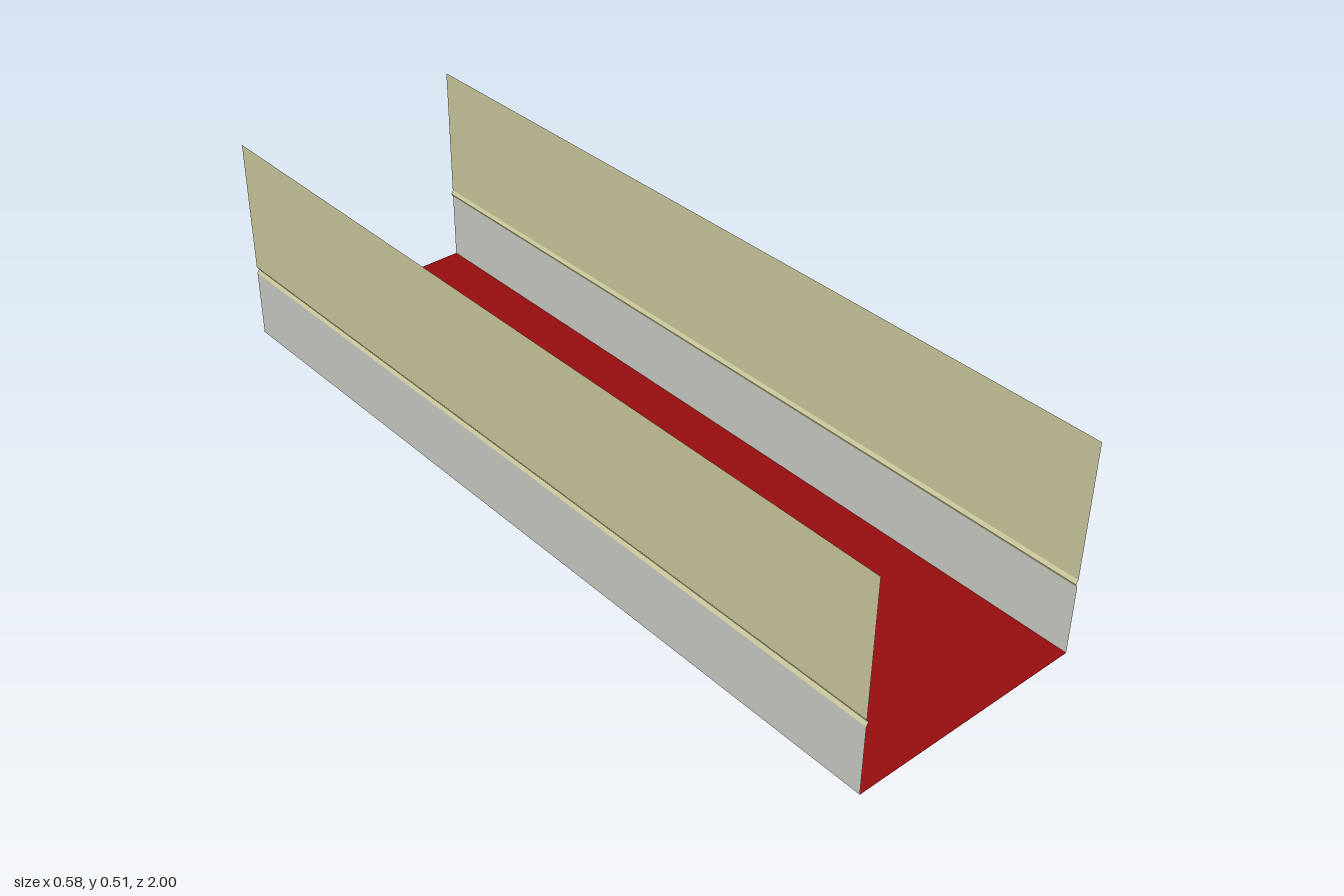
import * as THREE from 'three';

const LENGTH = 2, HALF = 0.289, HEIGHT = 0.51;
const RAIL_LOW = 0.167, RAIL_MID = 0.176, RAIL_HIGH = 0.185, RAIL_DEPTH = 0.005;

function material(name, color) {
  const m = new THREE.MeshStandardMaterial({ color, side: THREE.DoubleSide });
  m.name = name;
  return m;
}

// Flat sheet running the whole length, spanning two points of the cross-section
function sheet(name, mat, [x0, y0], [x1, y1]) {
  const geometry = new THREE.PlaneGeometry(Math.hypot(x1 - x0, y1 - y0), LENGTH);
  geometry.rotateX(-Math.PI / 2);
  geometry.rotateZ(Math.atan2(y1 - y0, x1 - x0));
  geometry.translate((x0 + x1) / 2, (y0 + y1) / 2, 0);
  const mesh = new THREE.Mesh(geometry, mat);
  mesh.name = name;
  return mesh;
}

export function createModel() {
  const red = material('red carpet', 0x960c0f);
  const grey = material('pale grey panel', 0xd6d6ce);
  const cream = material('cream wall', 0xd6d3a5);

  const model = new THREE.Group();
  model.name = 'corridor';
  model.add(sheet('floor', red, [-HALF, 0], [HALF, 0]));

  // Walls: lower panel, shallow rail pressed towards the inside, upper wall
  for (const [side, s] of [['left', 1], ['right', -1]]) {
    const x = s * HALF, railX = s * (HALF - RAIL_DEPTH);
    const wall = new THREE.Group();
    wall.name = side + 'Wall';
    wall.add(
      sheet('lowerPanel', grey, [x, 0], [x, RAIL_LOW]),
      sheet('railLowerSlope', cream, [x, RAIL_LOW], [railX, RAIL_MID]),
      sheet('railUpperSlope', cream, [railX, RAIL_MID], [x, RAIL_HIGH]),
      sheet('upperWall', cream, [x, RAIL_HIGH], [x, HEIGHT])
    );
    model.add(wall);
  }
  return model;
}
